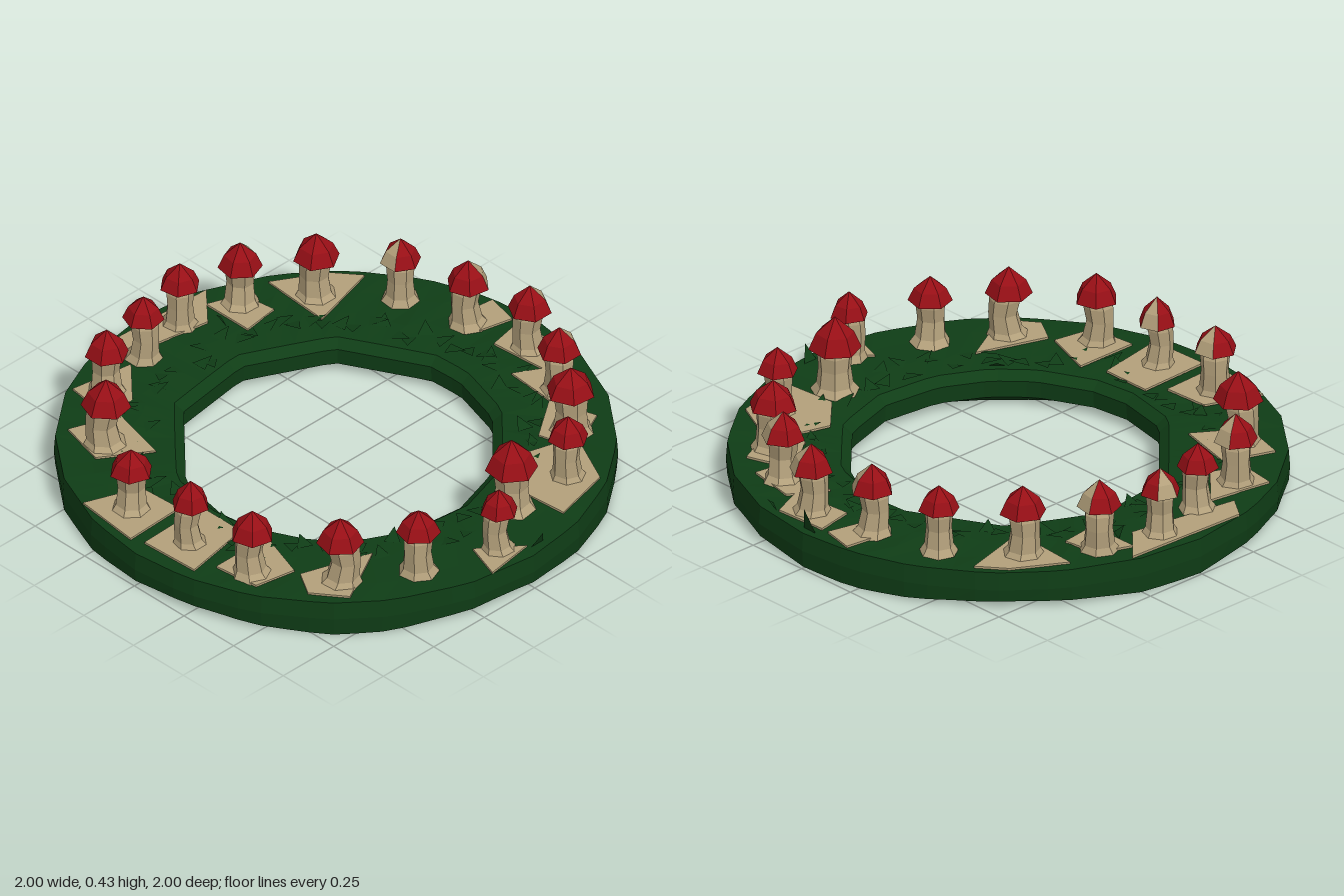
import * as THREE from 'three';

const DEG = Math.PI / 180;
const mat = (name, color) => {
  const m = new THREE.MeshStandardMaterial({ color, side: THREE.DoubleSide });
  m.name = name;
  return m;
};

// small seeded random number in -1..1
let seed = 7;
const rnd = () => {
  seed = (seed * 16807) % 2147483647;
  return (seed / 2147483647) * 2 - 1;
};

// faceted normals
const facet = (g) => {
  const f = g.index ? g.toNonIndexed() : g;
  f.computeVertexNormals();
  return f;
};

const add = (parent, name, geometry, material) => {
  const mesh = new THREE.Mesh(geometry, material);
  mesh.name = name;
  parent.add(mesh);
  return mesh;
};

// radius at angle a (degrees) of a polygon with corners at the given angles on a circle
function polygonRadius(a, corners, R) {
  for (let i = 0; i < corners.length; i++) {
    const c0 = corners[i];
    const c1 = i + 1 < corners.length ? corners[i + 1] : corners[0] + 360;
    const t = a < corners[0] ? a + 360 : a;
    if (t >= c0 && t <= c1) {
      return (R * Math.cos(((c1 - c0) / 2) * DEG)) / Math.cos((t - (c0 + c1) / 2) * DEG);
    }
  }
  return R;
}

const INNER = [18, 37, 53, 75, 90, 112, 155, 189, 224, 260, 274, 298, 331, 355];
const OUTER = [0, 16, 33, 46, 62, 77, 90, 104, 120, 135, 150, 163, 180, 195, 212, 227, 243, 257, 270, 285, 300, 316, 331, 346];

// ring swept from a rough rectangular cross-section
function ringGeometry() {
  const N = 72;
  const pos = [], index = [];
  for (let i = 0; i < N; i++) {
    const a = (i * 360) / N;
    const ri = polygonRadius(a, INNER, 0.575);
    const ro = polygonRadius(a, OUTER, 0.998);
    const wave = 0.012 + 0.012 * Math.sin(a * DEG * 5 + 1);
    const section = [
      [ro - 0.005, wave], [ro, 0.07], [ro - 0.005, 0.138],
      [0.86 + rnd() * 0.03, 0.137 + rnd() * 0.004], [0.73 + rnd() * 0.03, 0.136 + rnd() * 0.005],
      [ri + 0.035, 0.13], [ri, 0.1], [ri + 0.005, 0.035], [ri + 0.05, wave], [0.8, 0],
    ];
    for (const [r, y] of section) pos.push(r * Math.cos(a * DEG), y, r * Math.sin(a * DEG));
    const M = section.length;
    for (let j = 0; j < M; j++) {
      const p = i * M + j, q = i * M + ((j + 1) % M);
      const s = ((i + 1) % N) * M + j, t = ((i + 1) % N) * M + ((j + 1) % M);
      index.push(p, q, s, q, t, s);
    }
  }
  const g = new THREE.BufferGeometry();
  g.setAttribute('position', new THREE.Float32BufferAttribute(pos, 3));
  g.setIndex(index);
  return facet(g);
}

// three-cornered leaf lying around (x, z), with its tip raised
function leafGeometry(x, z, yaw, length, width, y, tip) {
  const c = Math.cos(yaw), s = Math.sin(yaw);
  const g = new THREE.BufferGeometry();
  g.setAttribute('position', new THREE.Float32BufferAttribute([
    x - s * width, y, z + c * width,
    x + c * length, tip, z + s * length,
    x + s * width, y, z - c * width,
  ], 3));
  g.computeVertexNormals();
  return g;
}

// x, z, cap radius, cap top, direction of the pale cap facet (-1 for none)
const MUSHROOMS = [
  [0.10, -0.86, 0.08, 0.41, 150], [0.35, -0.76, 0.08, 0.41, 150], [0.55, -0.62, 0.09, 0.41, -1],
  [0.74, -0.42, 0.075, 0.40, -1], [0.73, -0.15, 0.095, 0.43, -1], [0.88, 0.06, 0.07, 0.40, -1],
  [0.77, 0.35, 0.08, 0.40, -1], [0.62, 0.59, 0.085, 0.41, -1], [0.37, 0.78, 0.08, 0.41, -1],
  [0.09, 0.81, 0.07, 0.41, 200], [-0.20, 0.82, 0.08, 0.40, 190], [-0.54, 0.61, 0.09, 0.42, -1],
  [-0.76, 0.39, 0.08, 0.41, 180], [-0.82, 0.15, 0.075, 0.40, -1], [-0.87, -0.08, 0.075, 0.40, 250],
  [-0.80, -0.31, 0.08, 0.41, 170], [-0.65, -0.54, 0.085, 0.41, -1], [-0.43, -0.74, 0.075, 0.40, 0],
  [-0.16, -0.81, 0.08, 0.41, 140],
];

// outlines of the pale ground patches, x and z in turn
const PATCHES = [
  [-0.03, -0.93, 0.18, -0.94, 0.24, -0.80, 0, -0.78],
  [0.25, -0.84, 0.45, -0.80, 0.43, -0.68, 0.17, -0.70],
  [0.38, -0.68, 0.56, -0.74, 0.65, -0.55, 0.50, -0.51],
  [0.60, -0.60, 0.83, -0.49, 0.89, -0.25, 0.66, -0.23, 0.53, -0.36],
  [0.94, -0.02, 0.97, 0.18, 0.82, 0.13],
  [0.59, 0.40, 0.72, 0.64, 0.60, 0.73, 0.50, 0.67],
  [0.26, 0.60, 0.47, 0.67, 0.44, 0.83, 0.26, 0.85],
  [-0.03, 0.64, 0.17, 0.64, 0.22, 0.92, -0.02, 0.93],
  [-0.26, 0.71, -0.08, 0.70, -0.07, 0.95, -0.34, 0.92],
  [-0.62, 0.46, -0.38, 0.52, -0.50, 0.70, -0.69, 0.65],
  [-0.81, 0.22, -0.65, 0.37, -0.70, 0.49, -0.85, 0.47],
  [-0.94, -0.28, -0.80, -0.15, -0.87, 0.28, -0.96, 0.22],
  [-0.83, -0.35, -0.69, -0.37, -0.67, -0.22, -0.88, -0.22],
  [-0.61, -0.74, -0.53, -0.45, -0.82, -0.47, -0.71, -0.66],
  [-0.19, -0.96, -0.06, -0.93, -0.09, -0.80, -0.21, -0.80],
];

function mushroom(x, z, r, top, pale, stemMat, capMat) {
  const g = new THREE.Group();
  g.name = 'mushroom';
  g.position.set(x, 0, z);
  // bent stem with a flared foot
  const profile = [[0.075, 0.138], [0.057, 0.165], [0.05, 0.23], [0.055, 0.285], [0.048, 0.32]]
    .map(([pr, y]) => new THREE.Vector2((pr * r) / 0.08, y));
  const stem = new THREE.LatheGeometry(profile, 7, rnd());
  const p = stem.attributes.position, bx = rnd() * 0.015, bz = rnd() * 0.015;
  for (let i = 0; i < p.count; i++) {
    const k = Math.sin(((p.getY(i) - 0.138) / 0.182) * Math.PI);
    p.setX(i, p.getX(i) + bx * k);
    p.setZ(i, p.getZ(i) + bz * k);
  }
  add(g, 'stem', facet(stem), stemMat);
  // six-sided cap, one facet of which may be pale
  const dome = [[r, 0.305], [r * 0.72, 0.305 + (top - 0.305) * 0.5], [0, top]]
    .map(([pr, y]) => new THREE.Vector2(pr, y));
  const start = pale < 0 ? rnd() : (pale - 30) * DEG;
  const side = Math.PI / 3;
  if (pale < 0) {
    add(g, 'cap', facet(new THREE.LatheGeometry(dome, 6, start)), capMat);
  } else {
    add(g, 'cap', facet(new THREE.LatheGeometry(dome, 5, start + side, side * 5)), capMat);
    add(g, 'paleCapFacet', facet(new THREE.LatheGeometry(dome, 1, start, side)), stemMat);
  }
  // pale gills under the cap
  const gills = [new THREE.Vector2(0, 0.318), new THREE.Vector2(r * 0.97, 0.304)];
  add(g, 'gills', facet(new THREE.LatheGeometry(gills, 6, start)), stemMat);
  return g;
}

export function createModel() {
  seed = 7;
  const green = mat('moss green', 0x0f3d16);
  const red = mat('cap red', 0x980f16);
  const cream = mat('stem cream', 0xb3a07b);
  const model = new THREE.Group();
  model.name = 'mushroomRing';

  add(model, 'mossRing', ringGeometry(), green);

  // pale patches lying on the moss
  for (const c of PATCHES) {
    const pts = [];
    for (let i = 0; i < c.length; i += 2) pts.push(new THREE.Vector2(c[i], -c[i + 1]));
    const plate = new THREE.ExtrudeGeometry(new THREE.Shape(pts), { depth: 0.008, bevelEnabled: false });
    plate.rotateX(-Math.PI / 2).translate(0, 0.138, 0);
    add(model, 'groundPatch', plate, cream);
  }

  for (const [x, z, r, top, pale] of MUSHROOMS) model.add(mushroom(x, z, r, top, pale, cream, red));

  // low scattered leaves on the inner half of the moss
  for (let i = 0; i < 80; i++) {
    const a = (i / 80) * Math.PI * 2, r = 0.69 + rnd() * 0.05;
    add(model, 'leaf', leafGeometry(r * Math.cos(a), r * Math.sin(a), rnd() * 3, 0.07, 0.03, 0.136, 0.15 + rnd() * 0.005), green);
  }
  // taller blades: x, z, yaw, tip height
  for (const [x, z, yaw, tip] of [
    [0, -0.96, -1.57, 0.235], [0.95, -0.06, 0, 0.2], [-0.77, -0.2, 2, 0.175],
    [0.48, 0.4, -2.4, 0.16], [0.22, -0.92, -1, 0.17], [-0.3, 0.65, 1, 0.17],
  ]) add(model, 'blade', leafGeometry(x, z, yaw, 0.03, 0.03, 0.135, tip), green);

  return model;
}
